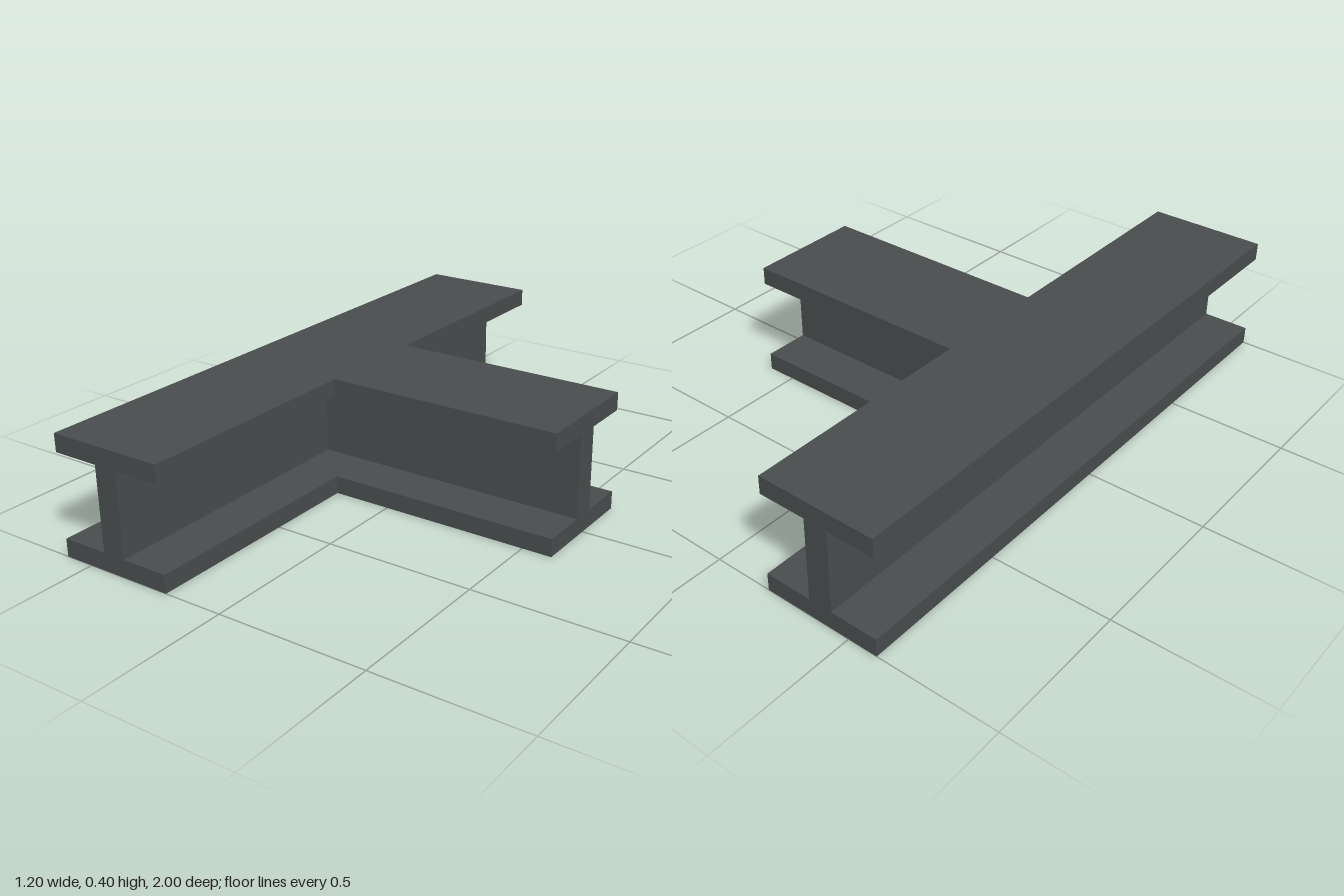
import * as THREE from 'three';

// T-shaped slab lying flat: a long run along z with a branch towards +x
function teeSlab(name, halfWidth, bottom, height, material) {
  const runX = -0.4, endX = 0.6, endZ = 1, w = halfWidth;
  const shape = new THREE.Shape([
    [runX - w, -endZ], [runX + w, -endZ], [runX + w, -w], [endX, -w],
    [endX, w], [runX + w, w], [runX + w, endZ], [runX - w, endZ],
  ].map(([x, y]) => new THREE.Vector2(x, y)));
  const geometry = new THREE.ExtrudeGeometry(shape, { depth: height, bevelEnabled: false });
  geometry.rotateX(-Math.PI / 2);
  const mesh = new THREE.Mesh(geometry, material);
  mesh.name = name;
  mesh.position.y = bottom;
  return mesh;
}

export function createModel() {
  const steel = new THREE.MeshStandardMaterial({ color: 0x484c4c });
  steel.name = 'dark steel';

  const total = 0.4, flange = 0.06;
  const group = new THREE.Group();
  group.name = 'beamTeeJunction';
  group.add(
    // wide plates below and above, thin upright web between them
    teeSlab('bottomFlange', 0.2, 0, flange, steel),
    teeSlab('web', 0.04, flange, total - 2 * flange, steel),
    teeSlab('topFlange', 0.2, total - flange, flange, steel),
  );
  return group;
}
